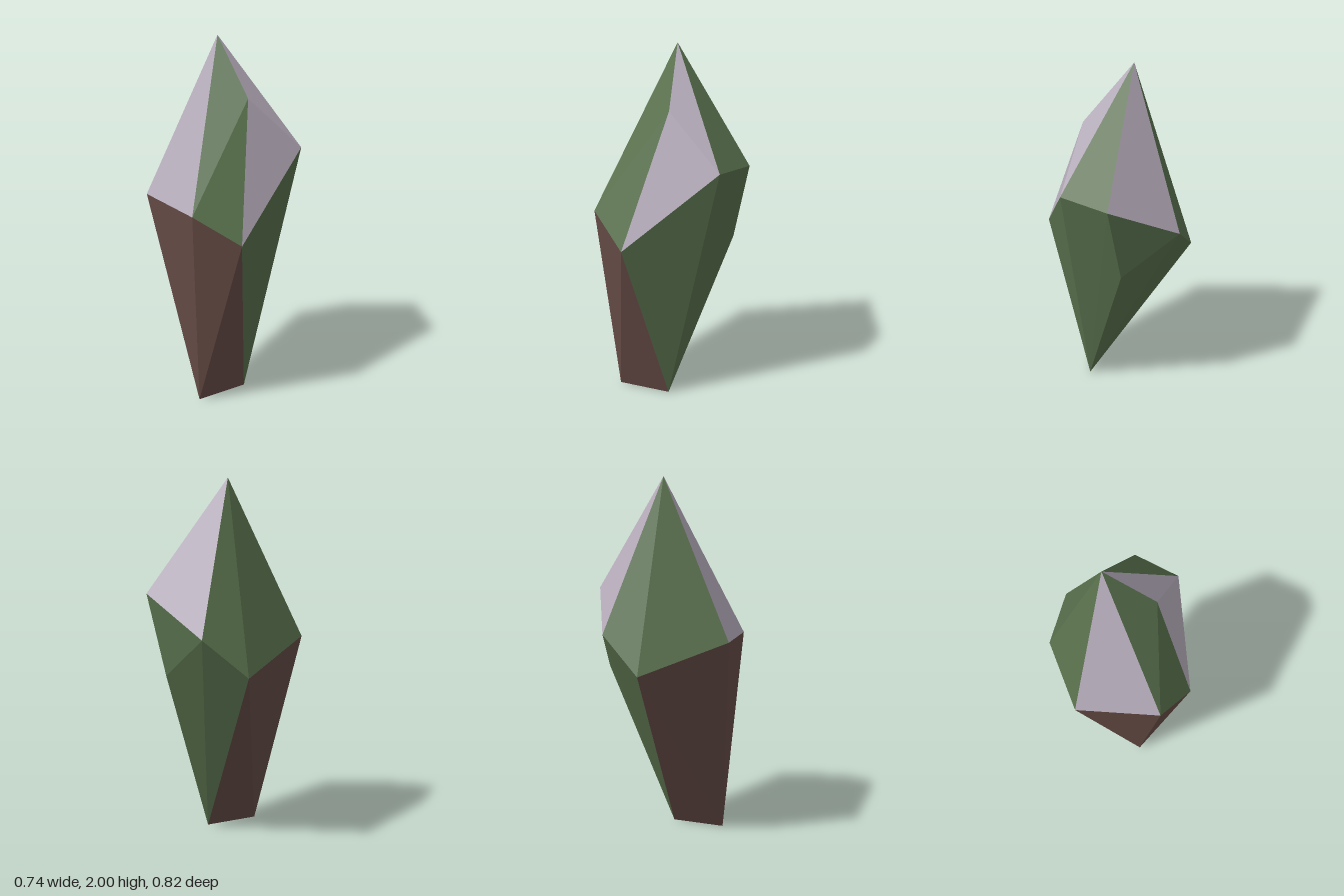
import * as THREE from 'three';

// Corners of the faceted crystal
const corners = {
  T: [-0.08, 2.0, -0.07],   // tip
  M: [0.15, 1.7, 0.03],     // shoulder under the tip
  A: [-0.37, 1.165, 0.215], // girdle, counter-clockwise from the front left
  B: [0.03, 1.155, 0.41],
  C: [0.26, 1.005, 0.31],
  D: [0.37, 1.425, -0.175],
  E: [0.215, 1.405, -0.385],
  F: [-0.18, 1.195, -0.41],
  G: [-0.355, 1.0, -0.255],
  H: [0.12, 0.97, -0.345],  // rear corner below the girdle
  P: [-0.012, 0.005, 0.29], // foot edge
  Q: [0.143, 0, 0.03],
};

// Triangular facets given by their corner letters
function facets(name, material, list) {
  const positions = list.split(' ').flatMap((face) => [...face].flatMap((c) => corners[c]));
  const geometry = new THREE.BufferGeometry();
  geometry.setAttribute('position', new THREE.Float32BufferAttribute(positions, 3));
  geometry.computeVertexNormals();
  const mesh = new THREE.Mesh(geometry, material);
  mesh.name = name;
  return mesh;
}

function paint(name, color) {
  const material = new THREE.MeshStandardMaterial({ color, flatShading: true });
  material.name = name;
  return material;
}

export function createModel() {
  const lilac = paint('lilac', 0xb6acbb);
  const green = paint('moss green', 0x59714d);
  const brown = paint('brown', 0x664c46);

  const group = new THREE.Group();
  group.name = 'crystal';
  group.add(
    facets('paleCrownFacets', lilac, 'TAB MCD TMD TEF'),
    facets('greenCrownFacets', green, 'TBM MBC TDE TFG TGA'),
    facets('greenBodyFacets', green, 'DCQ EDQ EQH FEH FHQ GFQ'),
    facets('brownBodyFacets', brown, 'BAP CBP CPQ GQP AGP'),
  );
  return group;
}
